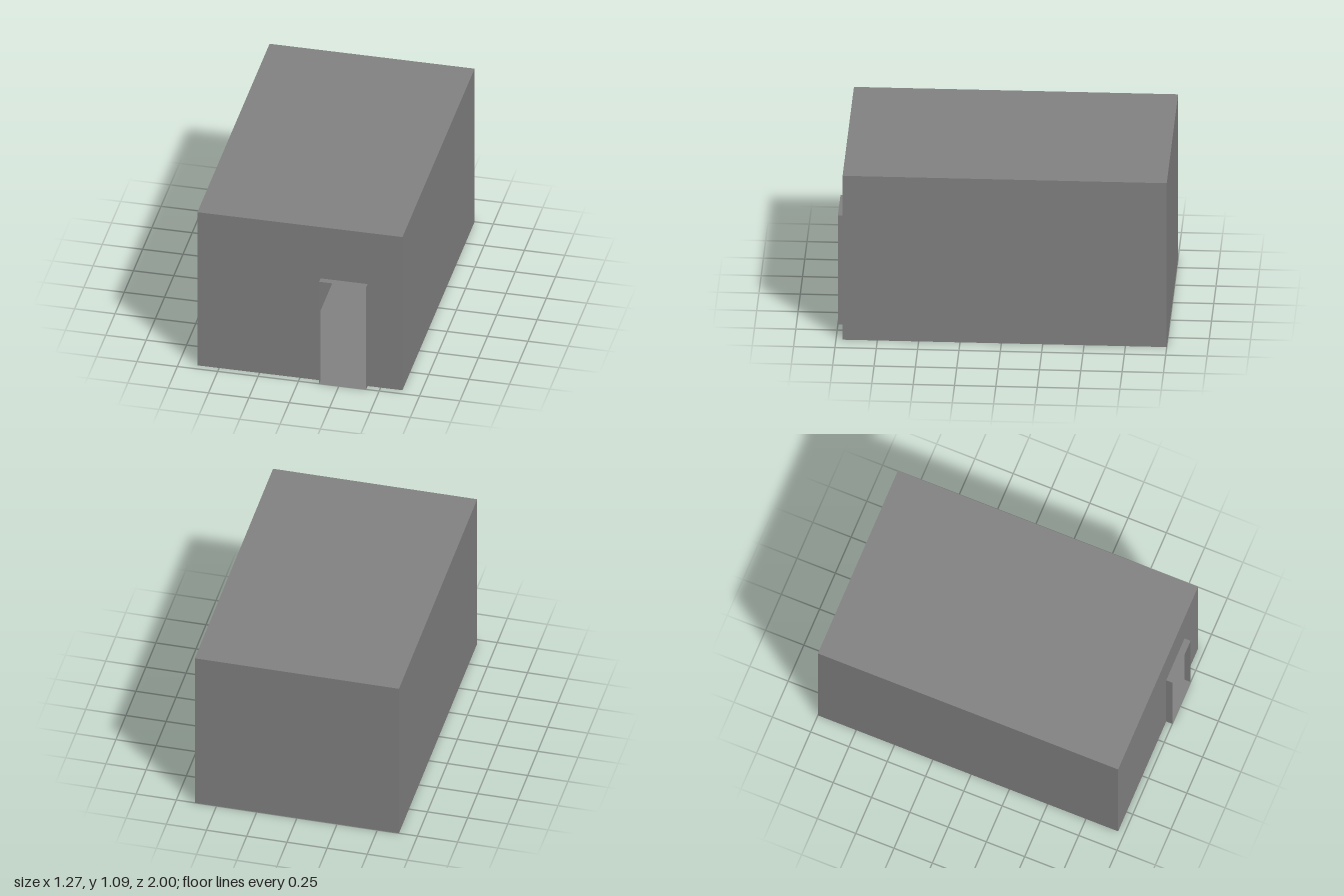
import * as THREE from 'three';

const material = new THREE.MeshStandardMaterial({ color: 0x838383, side: THREE.DoubleSide, flatShading: true });
const HEIGHT = 1.092, DOOR_HEIGHT = 0.727, GAP = 0.04;
const WEST = -0.635, EAST = 0.635, BACK = -1, FRONT = 0.96;

// Thin upright sheet from a to b along local x, with an optional doorway [start, end]
function wall(name, a, b, door) {
  const points = [[a, 0]];
  if (door) points.push([door[0], 0], [door[0], DOOR_HEIGHT], [door[1], DOOR_HEIGHT], [door[1], 0]);
  points.push([b, 0], [b, HEIGHT], [a, HEIGHT]);
  const shape = new THREE.Shape(points.map(([x, y]) => new THREE.Vector2(x, y)));
  const mesh = new THREE.Mesh(new THREE.ShapeGeometry(shape), material);
  mesh.name = name;
  return mesh;
}

// Short passage around a doorway, reaching GAP along local +z
function doorLining(name, [a, b]) {
  const group = new THREE.Group();
  group.name = name;
  const sheet = (part, geometry, x, y) => {
    const mesh = new THREE.Mesh(geometry, material);
    mesh.name = part;
    mesh.position.set(x, y, GAP / 2);
    group.add(mesh);
  };
  for (const x of [a, b]) {
    sheet('jamb', new THREE.PlaneGeometry(GAP, DOOR_HEIGHT).rotateY(Math.PI / 2), x, DOOR_HEIGHT / 2);
  }
  sheet('lintel', new THREE.PlaneGeometry(b - a, GAP).rotateX(-Math.PI / 2), (a + b) / 2, DOOR_HEIGHT);
  sheet('sill', new THREE.PlaneGeometry(b - a, GAP).rotateX(-Math.PI / 2), (a + b) / 2, 0);
  return group;
}

export function createModel() {
  const model = new THREE.Group();
  model.name = 'building';
  const acrossAt = (z, part) => { part.position.z = z; model.add(part); };
  const alongAt = (x, part) => { part.rotation.y = -Math.PI / 2; part.position.x = x; model.add(part); };

  // Floor and roof
  for (const [name, y] of [['floor', 0], ['roof', HEIGHT]]) {
    const slab = new THREE.Mesh(new THREE.PlaneGeometry(EAST - WEST, FRONT - BACK).rotateX(-Math.PI / 2), material);
    slab.name = name;
    slab.position.set(0, y, (FRONT + BACK) / 2);
    model.add(slab);
  }

  // Outer walls and projecting entrance
  const entrance = [0.128, 0.419];
  acrossAt(FRONT, wall('frontWall', WEST, EAST, entrance));
  acrossAt(FRONT, doorLining('entranceLining', entrance));
  acrossAt(BACK, wall('backWall', WEST, EAST));
  alongAt(EAST, wall('leftWall', BACK, FRONT));
  alongAt(WEST, wall('rightWall', BACK, FRONT));

  // Hollow partition with an inner doorway
  const innerDoor = [0.385, 0.68], partitionX = -0.048;
  for (const x of [partitionX, partitionX - GAP]) alongAt(x, wall('partition', BACK, FRONT, innerDoor));
  alongAt(partitionX, doorLining('innerDoorLining', innerDoor));

  // Cross wall behind the small front room
  for (const z of [0.26, 0.26 - GAP]) acrossAt(z, wall('crossWall', WEST, partitionX - GAP));

  return model;
}
